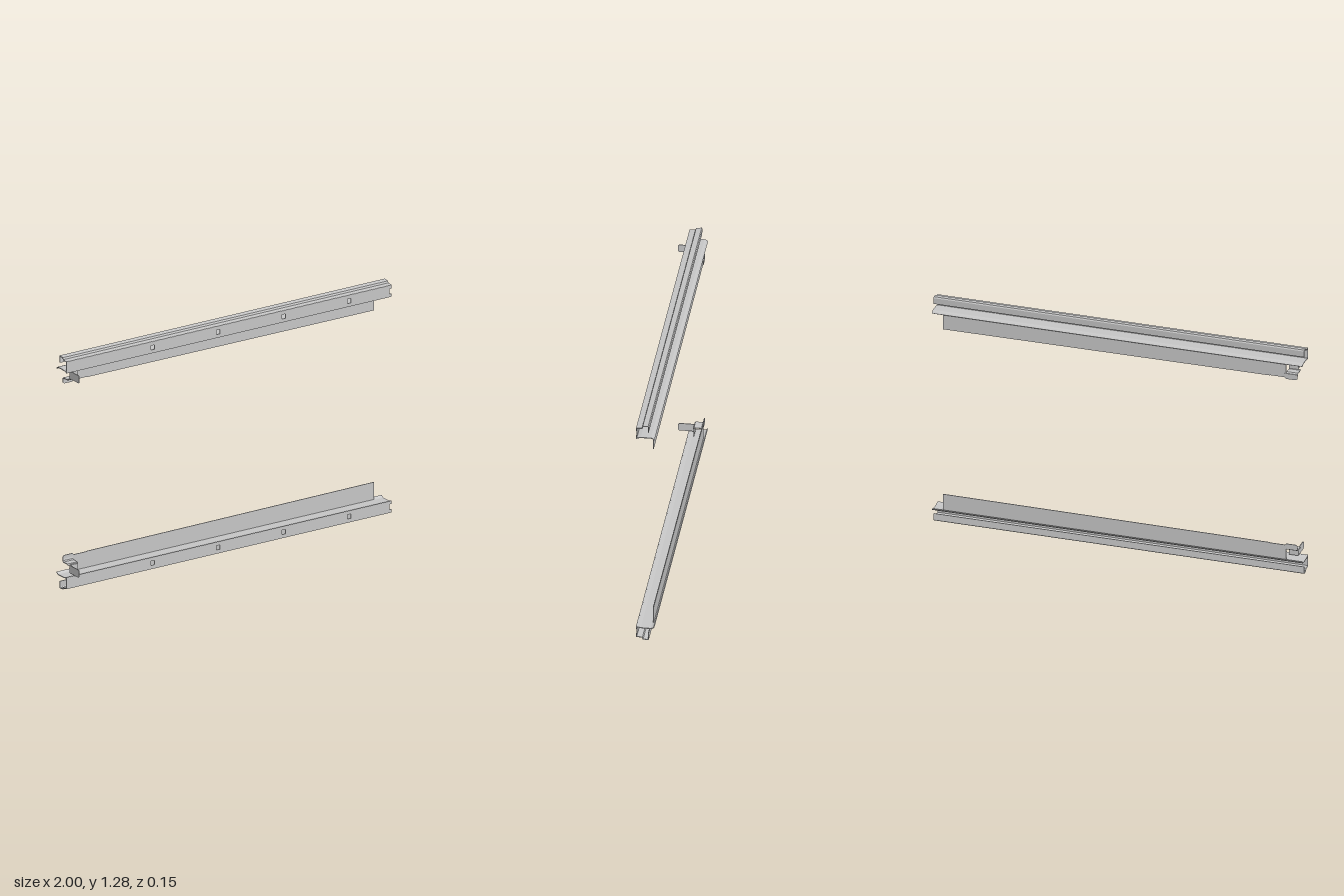
import * as THREE from 'three';

const HEIGHT = 1.28;
const T = 0.004; // sheet thickness
const steel = new THREE.MeshStandardMaterial({ color: 0xc6c6c6 });
steel.name = 'light steel grey';

// Sheet bent along a [z, y] path, thickened by mitred offsets, running from x0 to x1
function bentSheet(path, x0, x1) {
  const pts = path.map(([z, y]) => new THREE.Vector2(-z, y));
  const side = (s) => pts.map((p, i) => {
    const a = pts[Math.max(i - 1, 0)], b = pts[Math.min(i + 1, pts.length - 1)];
    const d1 = (i ? p.clone().sub(a) : b.clone().sub(p)).normalize();
    const d2 = (i < pts.length - 1 ? b.clone().sub(p) : d1.clone()).normalize();
    const n = new THREE.Vector2(-d1.y - d2.y, d1.x + d2.x).normalize();
    const k = Math.max(n.dot(new THREE.Vector2(-d1.y, d1.x)), 0.5);
    return p.clone().addScaledVector(n, s * T / 2 / k);
  });
  const shape = new THREE.Shape([...side(1), ...side(-1).reverse()]);
  return new THREE.ExtrudeGeometry(shape, { depth: x1 - x0, bevelEnabled: false })
    .rotateY(Math.PI / 2).translate(x0, 0, 0);
}

// Flat sheet facing z, cut from an [x, y] outline
function plate(outline, z, holes = []) {
  const shape = new THREE.Shape(outline.map(([x, y]) => new THREE.Vector2(x, y)));
  for (const [x, y, w, h] of holes) {
    shape.holes.push(new THREE.Path([
      new THREE.Vector2(x - w / 2, y - h / 2), new THREE.Vector2(x - w / 2, y + h / 2),
      new THREE.Vector2(x + w / 2, y + h / 2), new THREE.Vector2(x + w / 2, y - h / 2),
    ]));
  }
  return new THREE.ExtrudeGeometry(shape, { depth: T, bevelEnabled: false })
    .translate(0, 0, z - T / 2);
}

// Mirror top to bottom and restore the winding of each triangle
function mirrorY(geometry) {
  const p = geometry.attributes.position;
  const v = [new THREE.Vector3(), new THREE.Vector3(), new THREE.Vector3()];
  for (let i = 0; i < p.count; i += 3) {
    v.forEach((c, k) => c.fromBufferAttribute(p, i + k));
    [v[0], v[2], v[1]].forEach((c, k) => p.setXYZ(i + k, c.x, HEIGHT - c.y, c.z));
  }
  geometry.computeVertexNormals();
  return geometry;
}

function createRail(name, flipped) {
  const rail = new THREE.Group();
  rail.name = name;
  const add = (part, geometry) => {
    const mesh = new THREE.Mesh(flipped ? mirrorY(geometry) : geometry, steel);
    mesh.name = part;
    rail.add(mesh);
  };

  // Front web with square holes and a notch in its right end
  add('web', plate(
    [[-1, 0.016], [1, 0.016], [1, 0.034], [0.986, 0.034], [0.986, 0.062], [1, 0.062], [1, 0.079], [-1, 0.079]],
    0.019, [-0.47, -0.068, 0.335, 0.738].map((x) => [x, 0.048, 0.022, 0.024])));

  // Stepped outer flange with its return lip
  add('outerLip', bentSheet(
    [[0.02, 0.017], [-0.011, 0.015], [-0.015, 0.005], [-0.041, 0.002], [-0.044, 0.007], [-0.042, 0.04]], -1, 1));

  // Inner flange with its raised rear edge
  add('innerFlange', bentSheet(
    [[0.02, 0.078], [0.012, 0.074], [-0.004, 0.071], [-0.056, 0.07], [-0.066, 0.073], [-0.073, 0.081]], -1, 1));

  // Tall rear fin, slightly higher towards the right
  add('rearFin', plate([[-0.908, 0.07], [0.944, 0.07], [0.944, 0.168], [-0.82, 0.162], [-0.82, 0.16], [-0.908, 0.16]], -0.061));

  // Stepped end bracket joined to the fin
  add('bracketFace', plate([[-0.956, 0.084], [-0.908, 0.084], [-0.908, 0.133], [-0.956, 0.133]], -0.013));
  add('bracketStep', bentSheet([[-0.011, 0.128], [-0.016, 0.134], [-0.053, 0.133], [-0.06, 0.139], [-0.062, 0.15]], -0.97, -0.908));
  add('bracketTop', plate(
    [[-0.97, 0.137], [-0.9, 0.137], [-0.9, 0.16], [-0.91, 0.168], [-0.96, 0.168], [-0.97, 0.16]], -0.062));

  // Tab folded forward from the bracket, with clipped corners
  add('bracketTab', plate(
    [[-0.013, 0.085], [0.068, 0.085], [0.074, 0.091], [0.074, 0.121], [0.068, 0.127], [-0.013, 0.127]], 0)
    .rotateY(-Math.PI / 2).translate(-0.957, 0, 0));
  return rail;
}

export function createModel() {
  const model = new THREE.Group();
  model.name = 'railPair';
  model.add(createRail('lowerRail', false), createRail('upperRail', true));
  return model;
}
